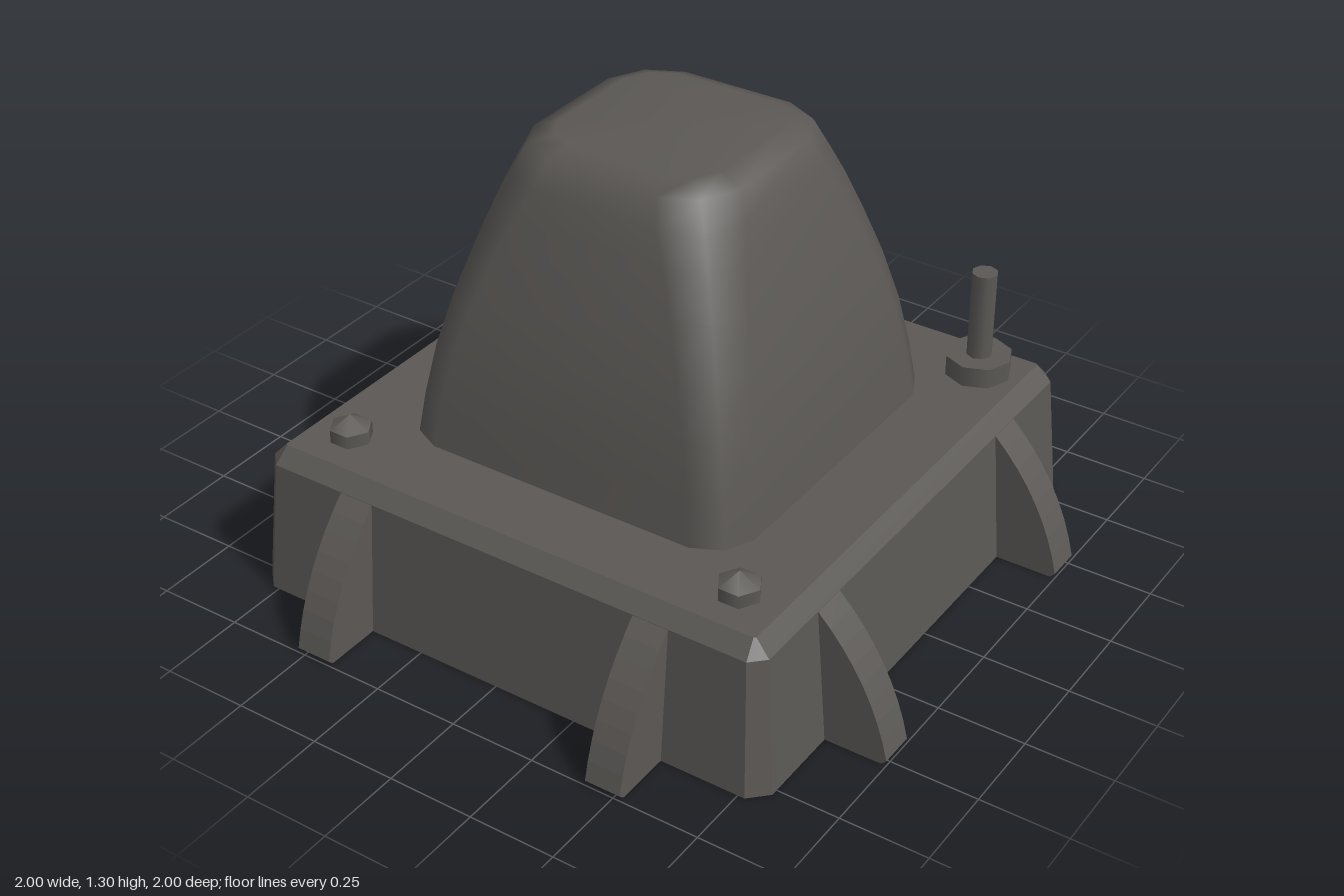
import * as THREE from 'three';

// Loft of rounded-square rings: [half width, y, corner cut]; k pulls the corner midpoint in
function loft(rings, k, smooth) {
  const pos = [], idx = [];
  let n = 0;
  for (const [h, y, c] of rings) {
    const corner = [[h, h - c], [h - k * c, h - k * c], [h - c, h]];
    n = 0;
    for (let q = 0; q < 4; q++) {
      for (const p of corner) {
        let [x, z] = p;
        for (let r = 0; r < q; r++) [x, z] = [-z, x];
        pos.push(x, y, z);
        n++;
      }
    }
  }
  for (let i = 0; i < rings.length - 1; i++) {
    for (let j = 0; j < n; j++) {
      const a = i * n + j, b = i * n + (j + 1) % n;
      idx.push(a, a + n, b, b, a + n, b + n);
    }
  }
  let geo = new THREE.BufferGeometry();
  geo.setAttribute('position', new THREE.Float32BufferAttribute(pos, 3));
  geo.setIndex(idx);
  if (!smooth) geo = geo.toNonIndexed();
  geo.computeVertexNormals();
  return geo;
}

// Copy of an unindexed geometry without the triangles lying on y = 0
function openBottom(source) {
  const p = source.attributes.position, pos = [];
  for (let i = 0; i < p.count; i += 3) {
    if (Math.max(p.getY(i), p.getY(i + 1), p.getY(i + 2)) < 0.001) continue;
    for (let j = i; j < i + 3; j++) pos.push(p.getX(j), p.getY(j), p.getZ(j));
  }
  const geo = new THREE.BufferGeometry();
  geo.setAttribute('position', new THREE.Float32BufferAttribute(pos, 3));
  geo.computeVertexNormals();
  return geo;
}

export function createModel() {
  const model = new THREE.Group();
  model.name = 'domedHousing';
  // Double-sided because the base and ribs are open underneath
  const darkMetal = new THREE.MeshStandardMaterial({ color: 0x5b5855, side: THREE.DoubleSide });
  darkMetal.name = 'dark metal';

  const add = (name, geo, x = 0, y = 0, z = 0, parent = model) => {
    const mesh = new THREE.Mesh(geo, darkMetal);
    mesh.name = name;
    mesh.position.set(x, y, z);
    parent.add(mesh);
    return mesh;
  };

  // Base: thin open shell with sloped walls, bevel and flat top
  add('base', loft([
    [0.82, 0, 0.05], [0.787, 0.395, 0.04], [0.745, 0.44, 0.005], [0, 0.44, 0],
  ], 0.5, false));

  // Tapered dome with a soft shoulder
  add('dome', loft([
    [0.53, 0.44, 0.12], [0.515, 0.56, 0.122], [0.49, 0.71, 0.126], [0.455, 0.86, 0.132],
    [0.415, 1.0, 0.14], [0.378, 1.12, 0.15], [0.35, 1.2, 0.16],
    [0.316, 1.275, 0.15], [0.25, 1.3, 0.1], [0, 1.3, 0],
  ], 0.33, true));

  // Curved buttress ribs, two on each side, running through the wall
  const ribShape = new THREE.Shape();
  ribShape.moveTo(0.42, 0);
  ribShape.lineTo(0.985, 0);
  ribShape.lineTo(1, 0.015);
  ribShape.quadraticCurveTo(0.95, 0.24, 0.785, 0.396);
  ribShape.lineTo(0.75, 0.39);
  ribShape.lineTo(0.42, 0);
  const ribSolid = new THREE.ExtrudeGeometry(ribShape, { depth: 0.105, bevelEnabled: false, curveSegments: 8 });
  const ribGeo = openBottom(ribSolid.translate(0, 0, -0.0525));
  for (let q = 0; q < 4; q++) {
    const side = new THREE.Group();
    side.name = 'ribPair';
    side.rotation.y = q * Math.PI / 2;
    for (const s of [-1, 1]) add('rib', ribGeo, 0, 0, s * 0.468, side);
    model.add(side);
  }

  // Hex bolts on three corners
  const shank = new THREE.CylinderGeometry(0.06, 0.06, 0.04, 6, 1, true).rotateY(Math.PI / 6);
  const crown = new THREE.ConeGeometry(0.06, 0.035, 6, 1, true).rotateY(Math.PI / 6);
  for (const [x, z] of [[-0.62, -0.62], [-0.62, 0.62], [0.62, 0.62]]) {
    const bolt = new THREE.Group();
    bolt.name = 'bolt';
    bolt.position.set(x, 0.44, z);
    add('boltSide', shank, 0, 0.018, 0, bolt);
    add('boltCrown', crown, 0, 0.0555, 0, bolt);
    model.add(bolt);
  }

  // Post with an octagonal collar on the fourth corner
  add('postCollar', new THREE.CylinderGeometry(0.095, 0.095, 0.06, 8), 0.62, 0.47, -0.62);
  add('post', new THREE.CylinderGeometry(0.037, 0.037, 0.26, 8), 0.62, 0.63, -0.62);

  return model;
}
